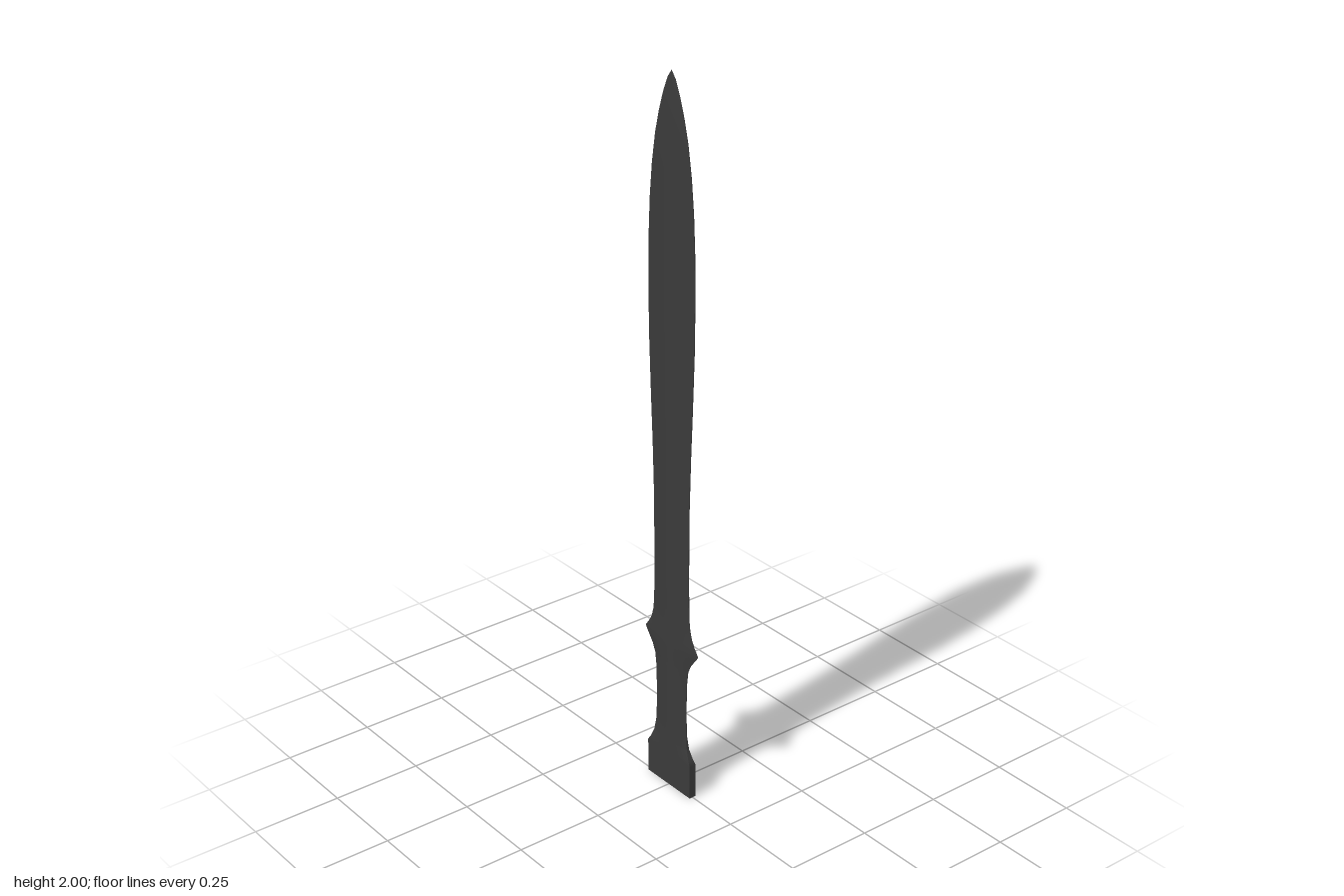
import * as THREE from 'three';
import { mergeGeometries } from 'three/addons/utils/BufferGeometryUtils.js';

// Stations: [height, half width (z), half thickness (x), edge thickness fraction]
const pommel = [[0, 0.09, 0.01, 1], [0.1, 0.09, 0.01, 1], [0.112, 0.082, 0.01, 0.8], [0.14, 0.07, 0.01, 0.4]];
const grip = [[0.14, 0.07, 0.01, 0.4], [0.18, 0.064, 0.01, 0.15], [0.25, 0.062, 0.01, 0.1],
  [0.34, 0.064, 0.01, 0.1], [0.38, 0.069, 0.01, 0.1]];
const guard = [[0.38, 0.069, 0.01, 0.1], [0.405, 0.08, 0.01, 0.1], [0.425, 0.096, 0.01, 0.06], [0.445, 0.111, 0.01, 0.03],
  [0.465, 0.096, 0.01, 0.06], [0.485, 0.084, 0.01, 0.1], [0.51, 0.077, 0.01, 0.1], [0.54, 0.073, 0.01, 0.1]];
const blade = [[0.54, 0.073, 0.01, 0.1], [0.65, 0.071, 0.01, 0.1], [0.85, 0.072, 0.01, 0.1], [1.0, 0.077, 0.01, 0.1],
  [1.15, 0.084, 0.01, 0.1], [1.3, 0.09, 0.01, 0.1], [1.45, 0.092, 0.01, 0.1], [1.56, 0.09, 0.01, 0.1],
  [1.66, 0.085, 0.01, 0.1], [1.75, 0.076, 0.01, 0.1], [1.83, 0.063, 0.01, 0.1], [1.89, 0.048, 0.009, 0.1],
  [1.94, 0.032, 0.006, 0.1], [1.98, 0.015, 0.003, 0.1], [2, 0, 0, 0.1]];

// Grid surface with its own smooth normals; columns x rows should face outwards
function grid(rows, cols, point, flip) {
  const pos = [], index = [];
  for (let i = 0; i < rows; i++) {
    for (let j = 0; j < cols; j++) {
      pos.push(...point(i, j));
      if (i === rows - 1 || j === cols - 1) continue;
      const a = i * cols + j, b = a + 1, c = a + cols, d = c + 1;
      index.push(...(flip ? [a, c, b, b, c, d] : [a, b, c, b, d, c]));
    }
  }
  const g = new THREE.BufferGeometry();
  g.setAttribute('position', new THREE.Float32BufferAttribute(pos, 3));
  g.setIndex(index);
  g.computeVertexNormals();
  return g;
}

// Lens-shaped loft: two bulging faces and two narrow rims
function loft(st, capped) {
  const N = 13, n = st.length, parts = [];
  const face = (s, k, j) => {
    const [y, w, t, e] = st[k], u = (j / (N - 1)) * 2 - 1;
    return [s * t * (e + (1 - e) * (1 - u * u)), y, u * w];
  };
  for (const s of [-1, 1]) {
    parts.push(grid(n, N, (i, j) => face(s, i, j), s > 0));
    parts.push(grid(n, 2, (i, j) => {
      const [y, w, t, e] = st[i];
      return [(j * 2 - 1) * t * e, y, s * w];
    }, s < 0));
  }
  // flat underside
  if (capped) parts.push(grid(2, N, (i, j) => face(i ? 1 : -1, 0, j), true));
  return mergeGeometries(parts);
}

export function createModel() {
  const group = new THREE.Group();
  const material = new THREE.MeshStandardMaterial({ color: 0x3a3a3a });
  const add = (name, stations, capped) => {
    const mesh = new THREE.Mesh(loft(stations, capped), material);
    mesh.name = name;
    group.add(mesh);
  };
  add('pommel', pommel, true);
  add('grip', grip);
  add('guard', guard);
  add('blade', blade);
  return group;
}
